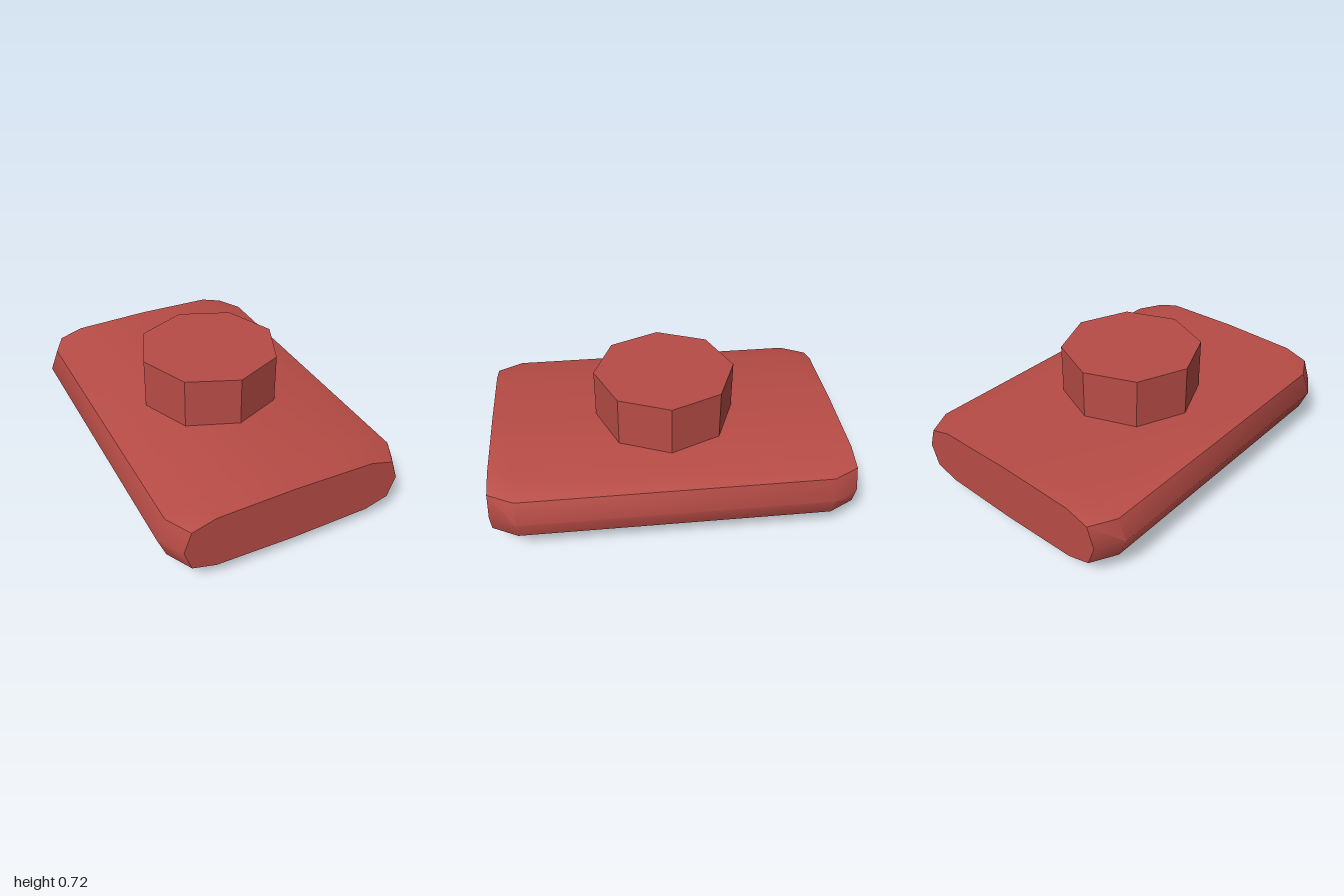
import * as THREE from 'three';
import { toCreasedNormals } from 'three/addons/utils/BufferGeometryUtils.js';

const END = 1, SHOULDER = 0.857, MID_Y = 0.26;

// Pillow-shaped slab: one convex section, narrowed at both ends
function bodyGeometry() {
  const quarter = [[0.71, 0], [0.662, 0.12], [0.51, 0.16], [0, 0.17]];
  const top = [...quarter, ...quarter.slice(0, 3).reverse().map(([x, y]) => [-x, y])];
  const section = [...top, ...top.slice(1, -1).reverse().map(([x, y]) => [x, -y])];
  const stations = [[-END, 0.886], [-SHOULDER, 1], [SHOULDER, 1], [END, 0.886]];
  const n = section.length;
  const positions = [], index = [];
  for (const [z, s] of stations) {
    for (const [x, y] of section) positions.push(x * s, MID_Y + y, z);
  }
  for (let k = 0; k < stations.length - 1; k++) {
    for (let i = 0; i < n; i++) {
      const a = k * n + i, b = k * n + (i + 1) % n;
      index.push(a, b, b + n, a, b + n, a + n);
    }
  }
  // End caps
  const last = (stations.length - 1) * n;
  for (let i = 1; i < n - 1; i++) {
    index.push(0, i + 1, i, last, last + i, last + i + 1);
  }
  const geometry = new THREE.BufferGeometry();
  geometry.setAttribute('position', new THREE.Float32BufferAttribute(positions, 3));
  geometry.setIndex(index);
  return toCreasedNormals(geometry, 0.85);
}

// Triangular runner, point down
function ridgeGeometry() {
  const shape = new THREE.Shape([
    new THREE.Vector2(-0.057, 0.086),
    new THREE.Vector2(0, 0),
    new THREE.Vector2(0.057, 0.086),
  ]);
  return new THREE.ExtrudeGeometry(shape, { depth: SHOULDER * 2, bevelEnabled: false })
    .translate(0, 0, -SHOULDER);
}

export function createModel() {
  const model = new THREE.Group();
  const smooth = new THREE.MeshStandardMaterial({ color: 0xb84c46 });
  const flat = new THREE.MeshStandardMaterial({ color: 0xb84c46, flatShading: true });
  const add = (name, geometry, material) => {
    const mesh = new THREE.Mesh(geometry, material);
    mesh.name = name;
    model.add(mesh);
    return mesh;
  };

  add('body', bodyGeometry(), smooth);

  // Octagonal knob on top
  const knobBottom = 0.415, knobTop = 0.715;
  const knob = add('knob', new THREE.CylinderGeometry(0.4, 0.4, knobTop - knobBottom, 8), flat);
  knob.position.y = (knobTop + knobBottom) / 2;

  // Three runners underneath
  const ridge = ridgeGeometry();
  [['rightRidge', -0.428], ['middleRidge', 0], ['leftRidge', 0.428]].forEach(([name, x]) => {
    add(name, ridge, flat).position.x = x;
  });

  return model;
}
